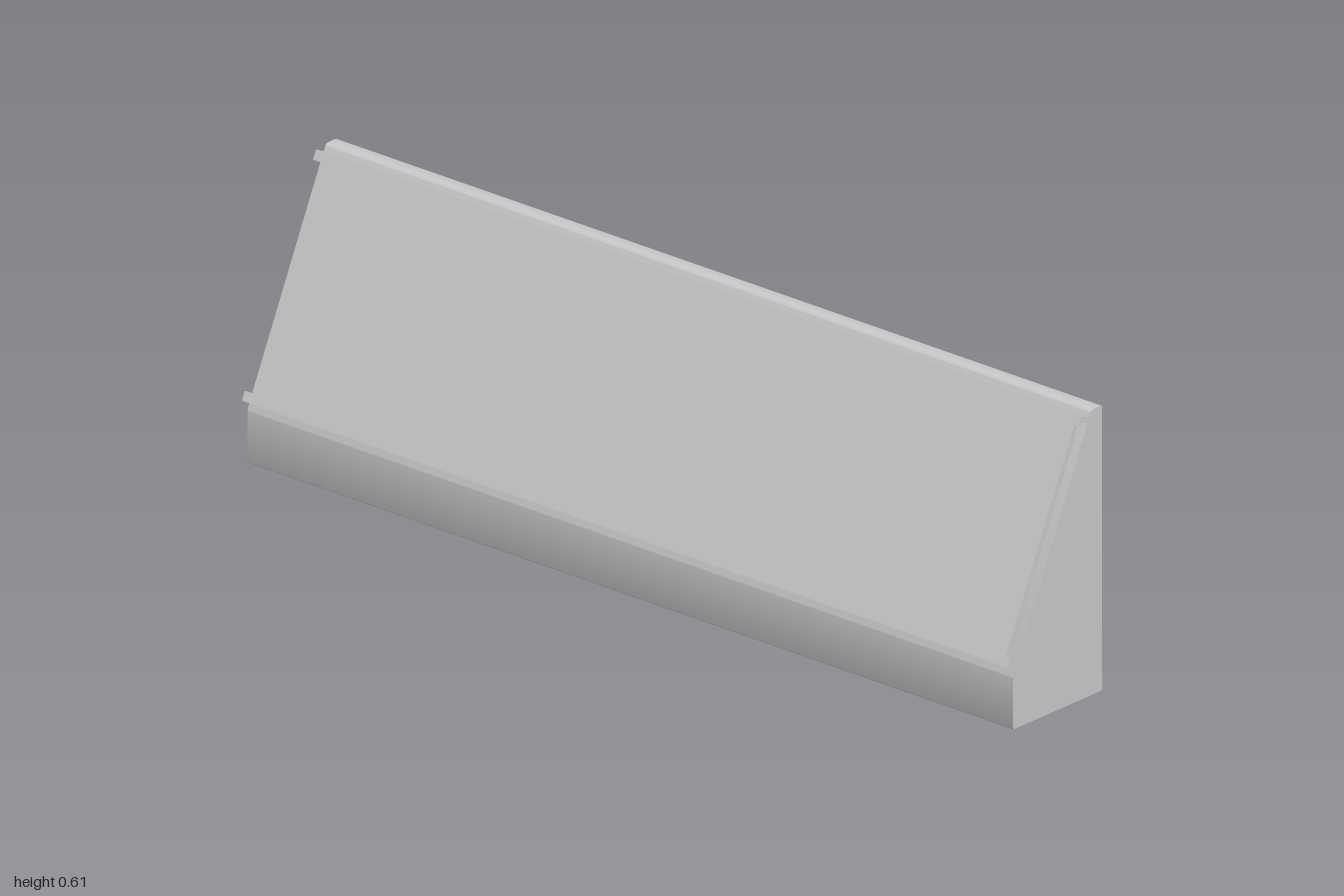
import * as THREE from 'three';
import { toCreasedNormals } from 'three/addons/utils/BufferGeometryUtils.js';

const material = new THREE.MeshStandardMaterial({ color: 0xcccccc });

// Extrude a side profile of [z, y] points along x; optional third value rounds that corner.
function extrudeAlongX(name, points, xMin, xMax) {
  const shape = new THREE.Shape();
  points.forEach(([z, y, r = 0], i) => {
    const corner = new THREE.Vector2(z, y);
    const towards = ([a, b]) => new THREE.Vector2(a, b).sub(corner).setLength(r).add(corner);
    const start = towards(points[(i + points.length - 1) % points.length]);
    const end = towards(points[(i + 1) % points.length]);
    if (i === 0) shape.moveTo(start.x, start.y);
    else shape.lineTo(start.x, start.y);
    if (r > 0) shape.quadraticCurveTo(z, y, end.x, end.y);
  });
  shape.closePath();
  const geometry = new THREE.ExtrudeGeometry(shape, { depth: xMax - xMin, bevelEnabled: false, curveSegments: 5 });
  geometry.rotateY(-Math.PI / 2).translate(xMax, 0, 0);
  const mesh = new THREE.Mesh(toCreasedNormals(geometry, 0.5), material);
  mesh.name = name;
  return mesh;
}

// Sloped face: from its foot to its top edge
const foot = new THREE.Vector2(0.123, 0.113);
const crest = new THREE.Vector2(-0.108, 0.605);
const up = crest.clone().sub(foot).normalize();
const out = new THREE.Vector2(up.y, -up.x);

// Point a distance s up the slope and n out from it
const onSlope = ([s, n]) => [foot.x + up.x * s + out.x * n, foot.y + up.y * s + out.y * n];

export function createModel() {
  const group = new THREE.Group();
  group.name = 'slopedDisplay';

  // Wedge body with slightly softened corners
  group.add(extrudeAlongX('body', [
    [-0.139, 0, 0.003], [0.123, 0, 0.003], [foot.x, foot.y, 0.007],
    [crest.x, crest.y, 0.006], [-0.139, 0.605, 0.004],
  ], -1, 1));

  // Flat panel lying on the slope
  const panel = [[0.0235, 0], [0.0235, 0.0133], [0.512, 0.0133], [0.512, 0]];
  group.add(extrudeAlongX('panel', panel.map(onSlope), -0.99, 0.98));

  // L-shaped rails with lips that hook over the panel edges
  const rail = (name, base, inner, tip) => extrudeAlongX(name, [
    [base, -0.001], [base, 0.025], [tip, 0.025], [tip, 0.0185], [inner, 0.0185], [inner, -0.001],
  ].map(onSlope), -1, 1);
  group.add(rail('lowerRail', 0.0148, 0.0235, 0.0345));
  // Reversed order keeps the mirrored profile's faces outward; the extruder corrects winding
  group.add(rail('upperRail', 0.527, 0.515, 0.506));

  return group;
}
